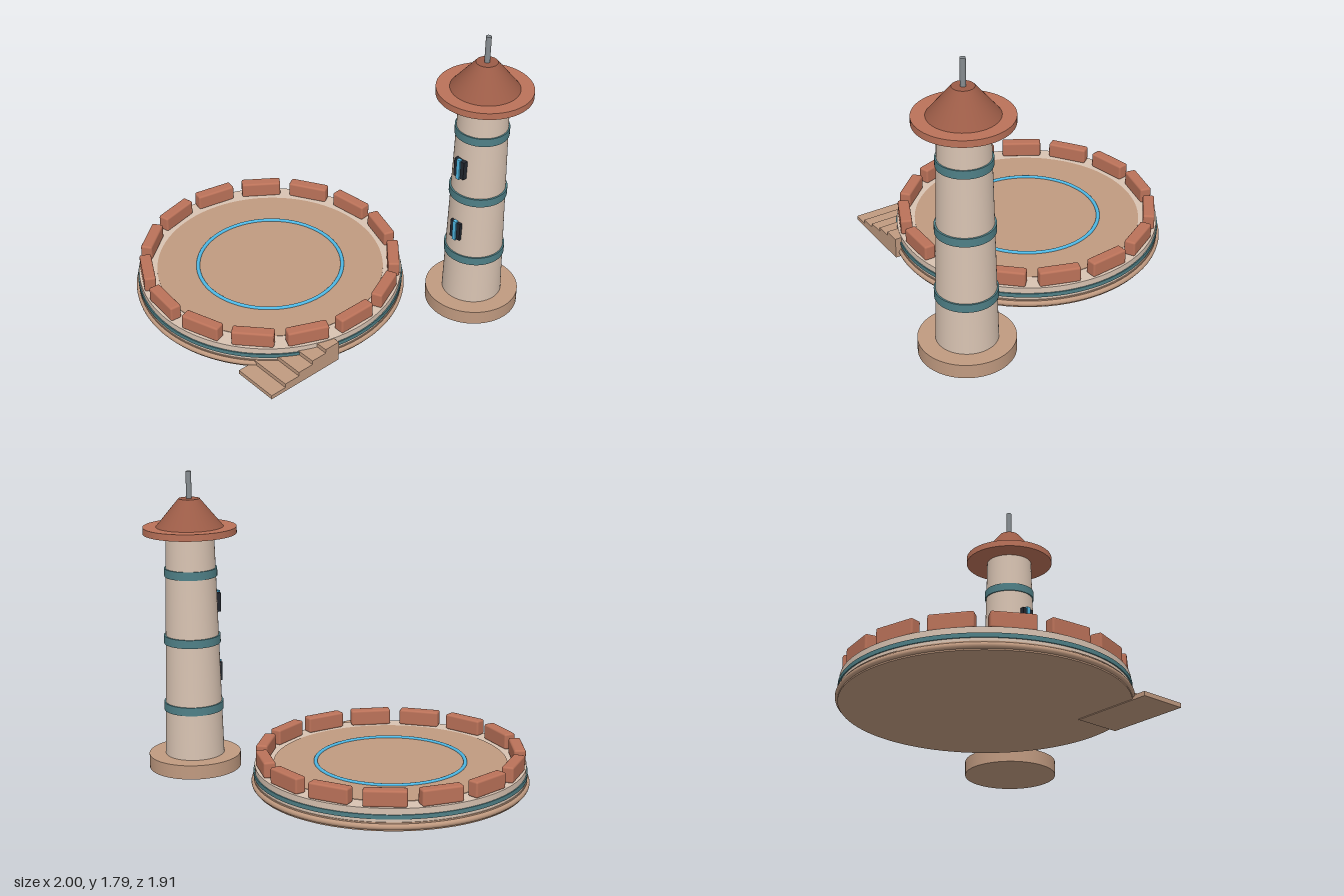
import * as THREE from 'three';
import { RoundedBoxGeometry } from 'three/addons/geometries/RoundedBoxGeometry.js';

const paint = (color) => new THREE.MeshStandardMaterial({ color });
const TAN = paint(0xc09a80);
const PLASTER = paint(0xd8c3b2);
const CLAY = paint(0xbb7259);
const ROOF = paint(0x9c5c47);
const TEAL = paint(0x4f8087);
const GLOW = paint(0x4fb8e4);
const DARK = paint(0x23272f);
const METAL = paint(0x868c90);

function add(parent, name, geometry, material, x = 0, y = 0, z = 0) {
  const mesh = new THREE.Mesh(geometry, material);
  mesh.name = name;
  mesh.position.set(x, y, z);
  parent.add(mesh);
  return mesh;
}

// Upright round part between two heights, with a bottom and a top radius
function drum(parent, name, material, y0, y1, r0, r1 = r0, sides = 64) {
  const geometry = new THREE.CylinderGeometry(r1, r0, y1 - y0, sides);
  return add(parent, name, geometry, material, 0, (y0 + y1) / 2, 0);
}

function flatRing(parent, name, material, y, radius, tube) {
  const ring = add(parent, name, new THREE.TorusGeometry(radius, tube, 12, 96), material, 0, y, 0);
  ring.rotation.x = Math.PI / 2;
  return ring;
}

function createPlatform() {
  const platform = new THREE.Group();
  platform.name = 'platform';
  drum(platform, 'foundation', TAN, 0.005, 0.055, 0.8, 0.8, 96);
  flatRing(platform, 'foundationLip', TAN, 0.03, 0.797, 0.018);
  drum(platform, 'wall', PLASTER, 0.055, 0.134, 0.795, 0.795, 96);
  drum(platform, 'wallBand', TEAL, 0.073, 0.098, 0.802, 0.802, 96);
  drum(platform, 'floor', TAN, 0.1, 0.137, 0.685, 0.685, 96);
  flatRing(platform, 'floorRing', GLOW, 0.138, 0.438, 0.011);

  // Parapet blocks evenly spaced around the rim
  const block = new RoundedBoxGeometry(0.07, 0.095, 0.246, 2, 0.012);
  const count = 15;
  for (let i = 0; i < count; i++) {
    const a = (i / count) * Math.PI * 2;
    const merlon = add(platform, 'parapetBlock', block, CLAY,
      0.745 * Math.cos(a), 0.18, 0.745 * Math.sin(a));
    merlon.rotation.y = -a;
  }
  return platform;
}

// Five solid steps rising toward the back
function createStairs() {
  const stairs = new THREE.Group();
  stairs.name = 'stairs';
  const depth = 0.1015;
  for (let i = 0; i < 5; i++) {
    const h = 0.026 * (i + 1);
    add(stairs, 'step', new THREE.BoxGeometry(0.285, h, depth), TAN,
      0, h / 2, -depth * (i + 0.5));
  }
  return stairs;
}

function createTower() {
  const tower = new THREE.Group();
  tower.name = 'tower';
  drum(tower, 'towerBase', TAN, 0, 0.085, 0.275);
  drum(tower, 'shaft', PLASTER, 0.085, 1.435, 0.176, 0.142);
  [[0.385, 0.177], [0.795, 0.168], [1.2, 0.156]].forEach(([y, r]) =>
    drum(tower, 'shaftBand', TEAL, y - 0.025, y + 0.025, r));

  // Slit windows with a glowing strip on the front
  for (const y of [0.573, 1.0]) {
    add(tower, 'windowFrame', new THREE.BoxGeometry(0.075, 0.115, 0.06), DARK, 0, y, 0.147);
    add(tower, 'windowStrip', new THREE.BoxGeometry(0.024, 0.13, 0.02), GLOW, 0, y, 0.175);
  }

  // Brimmed roof and mast
  drum(tower, 'roofBrim', CLAY, 1.43, 1.47, 0.275);
  drum(tower, 'roofCone', ROOF, 1.47, 1.635, 0.198, 0.062);
  drum(tower, 'mast', METAL, 1.6, 1.795, 0.016, 0.016, 24);
  return tower;
}

export function createModel() {
  const model = new THREE.Group();
  model.name = 'landingPadAndTower';
  const platform = createPlatform();
  platform.position.set(-0.185, 0, 0.138);
  const stairs = createStairs();
  stairs.position.set(0.4875, 0, 0.827);
  const tower = createTower();
  tower.position.set(0.723, 0, -0.678);
  model.add(platform, stairs, tower);
  return model;
}
